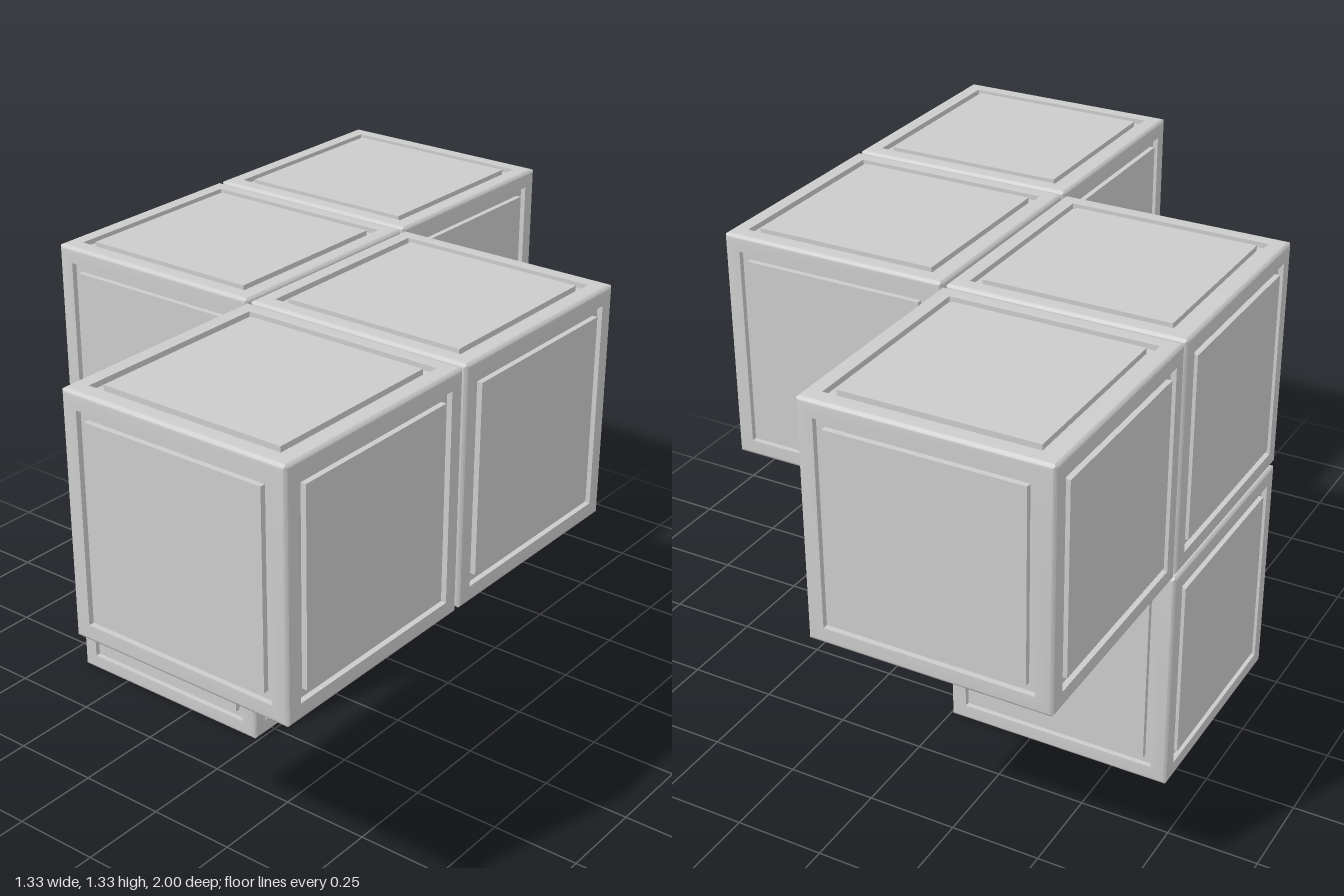
import * as THREE from 'three';
import { mergeGeometries, toCreasedNormals } from 'three/addons/utils/BufferGeometryUtils.js';

const HALF = 0.33;    // half a cube's side
const STEP = 0.67;    // spacing between cube centres
const BEVEL = 0.012;  // rounding of the edges
const DEPTH = 0.015;  // depth of the groove

// One cube side facing +z: square rings [half width, height] from the edge inwards
function faceGeometry() {
  const rings = [];
  for (const a of [Math.PI / 4, Math.PI / 8, 0]) {
    rings.push([HALF - BEVEL + BEVEL * Math.sin(a), HALF - BEVEL + BEVEL * Math.cos(a)]);
  }
  const outer = HALF - 0.046, inner = HALF - 0.069;
  rings.push([outer, HALF], [outer, HALF - DEPTH], [inner, HALF - DEPTH], [inner, HALF], [0, HALF]);

  const corners = [[-1, -1], [1, -1], [1, 1], [-1, 1]];
  const pos = [];
  const put = ([w, z], [cx, cy]) => pos.push(cx * w, cy * w, z);
  for (let i = 0; i < rings.length - 1; i++) {
    const p = rings[i], q = rings[i + 1];
    corners.forEach((c, k) => {
      const d = corners[(k + 1) % 4];
      put(p, c); put(p, d); put(q, d);
      if (q[0] > 0) { put(p, c); put(q, d); put(q, c); }
    });
  }
  const g = new THREE.BufferGeometry();
  g.setAttribute('position', new THREE.Float32BufferAttribute(pos, 3));
  return g;
}

// Six sides turned around the centre make one panelled cube
function cubeGeometry() {
  const face = faceGeometry();
  const sides = [];
  for (let i = 0; i < 4; i++) sides.push(face.clone().rotateY(i * Math.PI / 2));
  for (const s of [-1, 1]) sides.push(face.clone().rotateX(s * Math.PI / 2));
  return toCreasedNormals(mergeGeometries(sides), 0.5);
}

export function createModel() {
  const model = new THREE.Group();
  model.name = 'cubeCluster';
  const material = new THREE.MeshStandardMaterial({ color: 0xcccccc });
  const geometry = cubeGeometry();

  // Cells in steps: x, y, z
  const cells = {
    backRightCube: [-0.5, 1, -1],
    middleRightCube: [-0.5, 1, 0],
    middleLeftCube: [0.5, 1, 0],
    frontLeftCube: [0.5, 1, 1],
    bottomCube: [-0.5, 0, 0],
  };
  for (const [name, [x, y, z]] of Object.entries(cells)) {
    const cube = new THREE.Mesh(geometry, material);
    cube.name = name;
    cube.position.set(x * STEP, HALF + y * STEP, z * STEP);
    model.add(cube);
  }
  return model;
}
